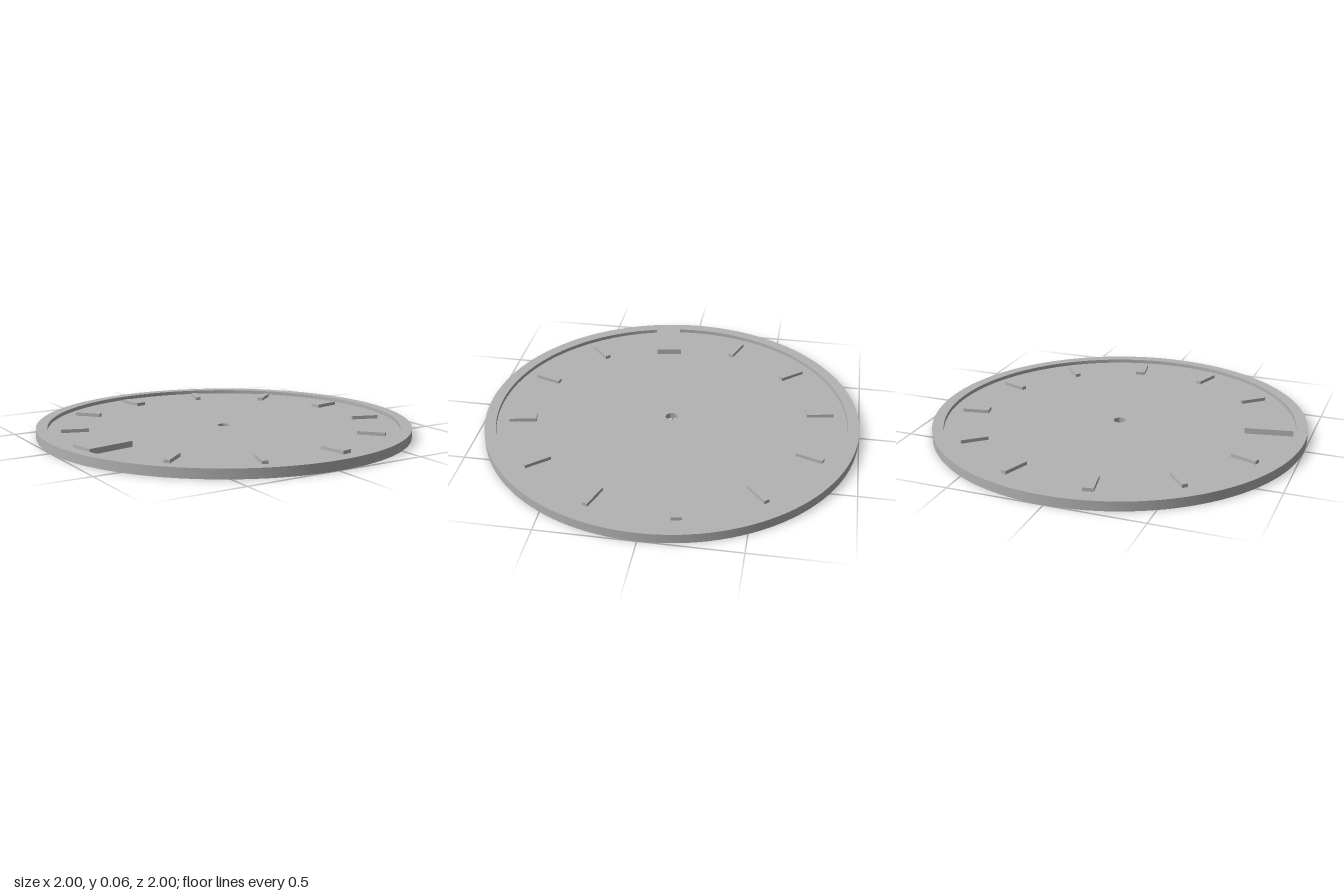
import * as THREE from 'three';
import { toCreasedNormals } from 'three/addons/utils/BufferGeometryUtils.js';

const FLOOR = 0.03, RIM_TOP = 0.05, RIM_INNER = 0.94, MARK_RADIUS = 0.8;
const START = THREE.MathUtils.degToRad(-10.7);

// Keyhole-shaped cutout below the window block: round hole with an outward slot
function keyholePath(angle) {
  const r = 0.042, half = 0.012, a0 = Math.asin(half / r);
  const local = [[0.09, -half], [0.09, half]];
  for (let i = 0; i <= 32; i++) {
    const a = a0 + (i / 32) * (Math.PI * 2 - a0 * 2);
    local.push([r * Math.cos(a), r * Math.sin(a)]);
  }
  const c = Math.cos(angle), s = Math.sin(angle);
  return new THREE.Path(local.map(([u, v]) => {
    const radial = u + 0.755, side = v - 0.024;
    return new THREE.Vector2(radial * c - side * s, -(radial * s + side * c));
  }));
}

export function createModel() {
  const model = new THREE.Group();
  model.name = 'dial';
  const grey = new THREE.MeshStandardMaterial({ color: 0xb3b3b3 });
  grey.name = 'grey';

  const add = (name, geometry) => {
    const mesh = new THREE.Mesh(geometry, grey);
    mesh.name = name;
    model.add(mesh);
    return mesh;
  };

  // Floor plate with the centre hole and the cutout
  const blockAngle = START + Math.PI;
  const disc = new THREE.Shape().absarc(0, 0, RIM_INNER, 0, Math.PI * 2);
  disc.holes.push(new THREE.Path().absarc(0, 0, 0.034, 0, Math.PI * 2, true));
  disc.holes.push(keyholePath(blockAngle));
  const plate = new THREE.ExtrudeGeometry(disc, { depth: FLOOR, bevelEnabled: false, curveSegments: 64 });
  plate.rotateX(-Math.PI / 2);
  add('floorPlate', toCreasedNormals(plate, Math.PI / 5));

  // Raised outer rim
  const profile = [[RIM_INNER, 0], [1, 0], [1, RIM_TOP], [RIM_INNER, RIM_TOP], [RIM_INNER, FLOOR]]
    .map(([x, y]) => new THREE.Vector2(x, y));
  add('rim', toCreasedNormals(new THREE.LatheGeometry(profile, 128), Math.PI / 5));

  // Hour markers: wide on the quarters, narrow between, and a window block in one place
  for (let i = 0; i < 12; i++) {
    const angle = START + (i * Math.PI) / 6;
    const isBlock = i === 6, isWide = i % 3 === 0;
    const length = isBlock ? 0.253 : 0.145;
    const width = isBlock ? 0.14 : isWide ? 0.055 : 0.03;
    const height = isBlock ? 0.03 : 0.018;
    const mark = add(isBlock ? 'windowBlock' : isWide ? 'quarterMarker' : 'hourMarker',
      new THREE.BoxGeometry(length, height, width));
    mark.position.set(Math.cos(angle) * MARK_RADIUS, FLOOR + height / 2, Math.sin(angle) * MARK_RADIUS);
    mark.rotation.y = -angle;
  }
  return model;
}
